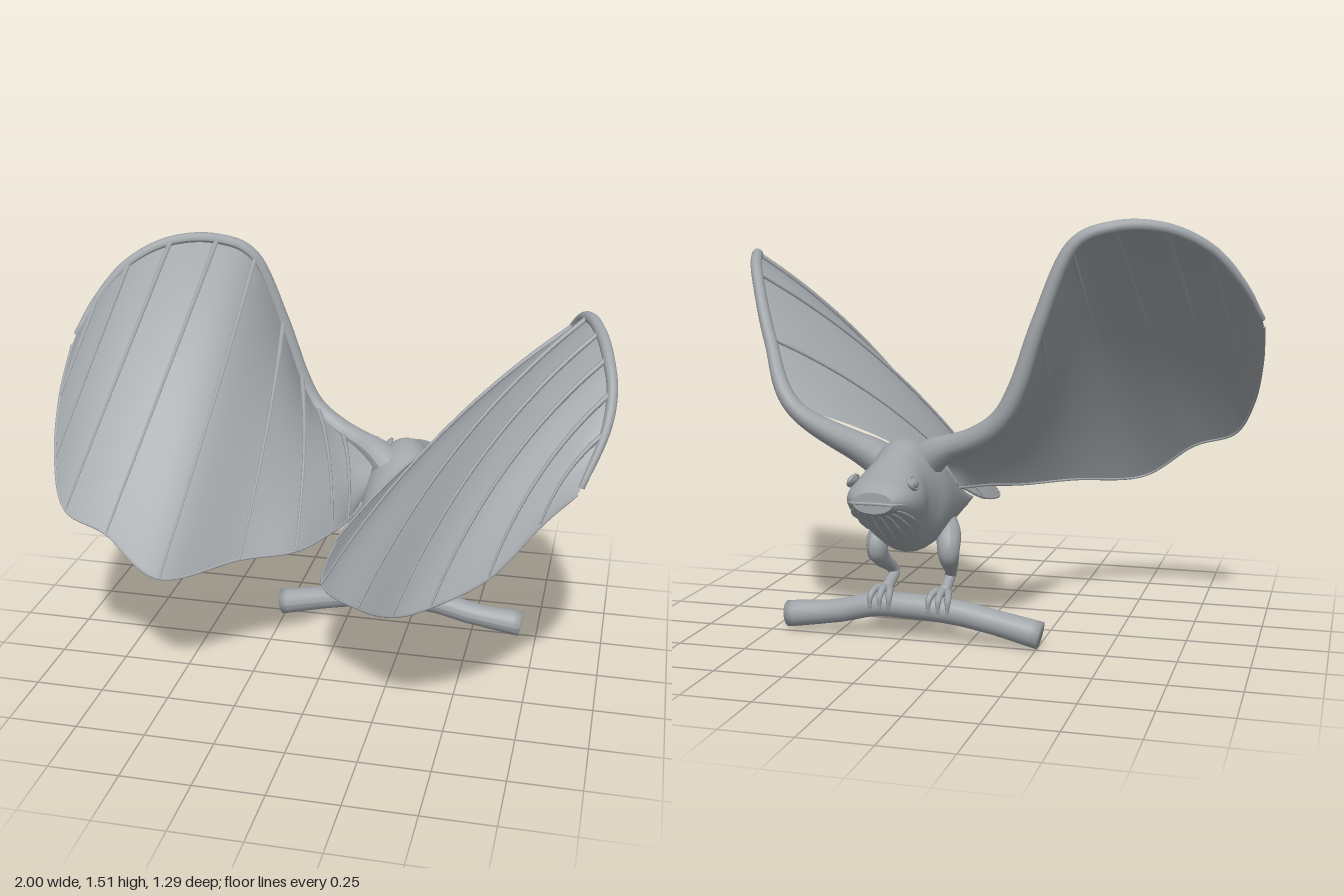
import * as THREE from 'three';
import { ParametricGeometry } from 'three/addons/geometries/ParametricGeometry.js';

const CX = 0.212; // centre line of the body
const V = (p) => new THREE.Vector3(...p);
const spline = (pts) => new THREE.CatmullRomCurve3(pts.map((p) => (p.isVector3 ? p : V(p))), false, 'catmullrom');
const skin = new THREE.MeshStandardMaterial({ color: 0x9fa4a8, side: THREE.DoubleSide });
skin.name = 'clay grey';

function add(parent, name, geometry) {
  const mesh = new THREE.Mesh(geometry, skin);
  mesh.name = name;
  parent.add(mesh);
  return mesh;
}

// Tube along a curve whose radius follows a list of values, with flat closed ends
function taperTube(pts, radii, segs = 40, sides = 12) {
  const curve = spline(pts);
  const geo = new THREE.TubeGeometry(curve, segs, 1, sides, false);
  const pos = geo.attributes.position;
  const v = new THREE.Vector3();
  for (let i = 0; i <= segs; i++) {
    const p = curve.getPointAt(i / segs);
    const end = i === 1 ? curve.getPointAt(0) : i === segs - 1 ? curve.getPointAt(1) : p;
    const f = (i / segs) * (radii.length - 1);
    const k = Math.min(Math.floor(f), radii.length - 2);
    const r = i === 0 || i === segs ? 0 : THREE.MathUtils.lerp(radii[k], radii[k + 1], f - k);
    for (let j = 0; j <= sides; j++) {
      const n = i * (sides + 1) + j;
      v.fromBufferAttribute(pos, n).sub(p).multiplyScalar(r).add(end);
      pos.setXYZ(n, v.x, v.y, v.z);
    }
  }
  geo.computeVertexNormals();
  return geo;
}

// Body sections: z, top, bottom, half width
const SECTIONS = [
  [-0.645, 0.622, 0.55, 0.07], [-0.6, 0.648, 0.525, 0.104], [-0.55, 0.665, 0.485, 0.122],
  [-0.48, 0.69, 0.435, 0.127], [-0.4, 0.725, 0.38, 0.117], [-0.33, 0.752, 0.35, 0.125],
  [-0.25, 0.735, 0.332, 0.145], [-0.15, 0.675, 0.34, 0.145], [0, 0.588, 0.365, 0.128],
  [0.15, 0.503, 0.387, 0.108], [0.31, 0.435, 0.407, 0.08],
];
const heights = spline(SECTIONS.map(([z, t, b]) => [z, t, b]));
const widths = spline(SECTIONS.map(([z, , , w]) => [z, w, 0]));

// Point of the body skin: c and s are the cosine and sine round a section
function bodyPoint(t, c, s) {
  const h = heights.getPoint(t);
  const w = widths.getPoint(t).y;
  return new THREE.Vector3(CX + c * w, (h.y + h.z) / 2 + (s * (h.y - h.z)) / 2, h.x);
}

function bodyGeometry() {
  const geo = new THREE.CylinderGeometry(1, 1, 1, 32, 50).rotateX(Math.PI / 2);
  const pos = geo.attributes.position;
  for (let i = 0; i < pos.count; i++) {
    const t = THREE.MathUtils.clamp(pos.getZ(i) + 0.5, 0, 1);
    const p = bodyPoint(t, pos.getX(i), pos.getY(i));
    pos.setXYZ(i, p.x, p.y, p.z);
  }
  geo.computeVertexNormals();
  return geo;
}

// Wing from pairs of points: front and rear end of each rib
function buildWing(name, ribs, shoulder, bulge, armRadii) {
  const wing = new THREE.Group();
  wing.name = name;
  const lead = spline(ribs.map((r) => r[0]));
  const trail = spline(ribs.map((r) => r[1]));
  const surface = (u, v, out) => {
    out.copy(lead.getPoint(v)).lerp(trail.getPoint(v), u);
    return out.addScaledVector(bulge, 4 * u * (1 - u) * Math.sin(Math.PI * (0.15 + 0.85 * v)));
  };
  add(wing, 'membrane', new ParametricGeometry(surface, 20, 72));
  add(wing, 'arm', taperTube([...shoulder, ...ribs.map((r) => r[0])], armRadii, 90));
  add(wing, 'trailingEdge', taperTube(ribs.map((r) => r[1]), [0.005, 0.005], 80, 6));
  // Ribs lie on the upper face
  const lift = bulge.clone().setLength(0.006);
  for (let i = 1; i < ribs.length - 1; i++) {
    const pts = [];
    for (let j = 0; j <= 8; j++) pts.push(surface(j / 8, i / (ribs.length - 1), new THREE.Vector3()).add(lift));
    add(wing, 'rib', taperTube(pts, [0.01, 0.006, 0.004], 24, 8));
  }
  return wing;
}

function buildLeg(side) {
  const leg = new THREE.Group();
  leg.name = side > 0 ? 'leftLeg' : 'rightLeg';
  const x = (d) => CX + side * d;
  add(leg, 'limb', taperTube([
    [x(0.09), 0.42, -0.12], [x(0.125), 0.385, -0.19], [x(0.135), 0.33, -0.222], [x(0.13), 0.285, -0.19],
    [x(0.115), 0.24, -0.125], [x(0.108), 0.212, -0.11], [x(0.108), 0.19, -0.15], [x(0.11), 0.17, -0.2],
  ], [0.045, 0.048, 0.043, 0.036, 0.028, 0.022, 0.02, 0.024], 48));
  // Toes gripping the branch
  for (const d of [-0.035, 0, 0.035]) {
    add(leg, 'toe', taperTube([
      [x(0.11), 0.172, -0.195], [x(0.11 + d * 0.7), 0.182, -0.23],
      [x(0.11 + d), 0.162, -0.27], [x(0.11 + d), 0.115, -0.279],
    ], [0.014, 0.014, 0.012, 0.004], 20, 8));
  }
  add(leg, 'backToe', taperTube([
    [x(0.11), 0.175, -0.2], [x(0.11), 0.165, -0.18], [x(0.11), 0.12, -0.178],
  ], [0.014, 0.013, 0.004], 14, 8));
  return leg;
}

export function createModel() {
  const model = new THREE.Group();
  model.name = 'wingedCreatureOnBranch';

  add(model, 'body', bodyGeometry());

  // Eyes with lids
  for (const side of [-1, 1]) {
    const eye = new THREE.Group();
    eye.name = side > 0 ? 'leftEye' : 'rightEye';
    eye.position.set(CX + side * 0.106, 0.638, -0.537);
    eye.rotation.set(0.12, 0, side * 0.45);
    add(eye, 'eyeball', new THREE.SphereGeometry(1, 20, 14)).scale.set(0.016, 0.02, 0.036);
    const lid = add(eye, 'eyelid', new THREE.TorusGeometry(0.036, 0.007, 8, 28).rotateY(Math.PI / 2));
    lid.scale.y = 0.6;
    model.add(eye);

    // Throat pleats under the jaw
    for (let k = 0; k < 4; k++) {
      const a = -Math.PI / 2 + side * (0.15 + k * 0.28);
      const pts = [0.06, 0.12, 0.18, 0.25, 0.32].map((t) => bodyPoint(t, Math.cos(a), Math.sin(a)));
      add(model, 'throatPleat', taperTube(pts, [0.003, 0.006, 0.002], 16, 6));
    }
  }

  // Lip running round the snout
  const lip = [];
  for (let k = -4; k <= 4; k++) {
    const t = 0.005 + 0.03 * Math.max(0, Math.abs(k) - 1);
    const c = Math.sign(k) * 0.985;
    lip.push(bodyPoint(t, c, -0.05 - 0.03 * Math.abs(k)));
  }
  add(model, 'lip', taperTube(lip, [0.003, 0.007, 0.003], 40, 6));

  // Left wing, swept back over the tail
  model.add(buildWing('leftWing', [
    [[0.59, 0.85, -0.375], [0.09, 0.57, -0.13]],
    [[0.733, 1.08, -0.25], [0.025, 0.475, 0.06]],
    [[0.837, 1.305, -0.115], [0.035, 0.432, 0.33]],
    [[0.885, 1.368, 0], [0.2, 0.438, 0.49]],
    [[0.93, 1.35, 0.11], [0.34, 0.488, 0.61]],
    [[0.963, 1.295, 0.215], [0.47, 0.55, 0.632]],
    [[0.985, 1.21, 0.31], [0.65, 0.66, 0.6]],
    [[0.972, 1.1, 0.4], [0.8, 0.83, 0.535]],
    [[0.915, 0.95, 0.485], [0.905, 0.93, 0.495]],
  ], [[0.23, 0.55, -0.25], [0.31, 0.665, -0.28]], V([-0.05, 0.06, 0.01]),
  [0.085, 0.052, 0.032, 0.024, 0.022, 0.021, 0.02, 0.017, 0.01]));

  // Small membrane between left arm and flank
  add(model, 'flankMembrane', new ParametricGeometry((u, v, out) => {
    const arm = V([0.24, 0.63, -0.26]).lerp(V([0.59, 0.845, -0.37]), v);
    const flank = V([0.15, 0.55, 0]).lerp(V([0.335, 0.54, 0.04]), v);
    out.copy(arm).lerp(flank, u);
  }, 10, 8));

  // Right wing, raised and spread outward
  model.add(buildWing('rightWing', [
    [[0.1, 0.7, -0.29], [0.07, 0.54, -0.1]],
    [[-0.05, 0.765, -0.345], [0.05, 0.53, -0.02]],
    [[-0.15, 0.84, -0.37], [0.01, 0.52, 0.08]],
    [[-0.215, 0.96, -0.382], [-0.09, 0.5, 0.225]],
    [[-0.285, 1.17, -0.385], [-0.265, 0.505, 0.345]],
    [[-0.387, 1.415, -0.372], [-0.5, 0.495, 0.53]],
    [[-0.525, 1.485, -0.342], [-0.7, 0.63, 0.495]],
    [[-0.69, 1.48, -0.285], [-0.86, 0.69, 0.46]],
    [[-0.83, 1.41, -0.21], [-0.94, 0.83, 0.33]],
    [[-0.93, 1.29, -0.13], [-0.98, 1.0, 0.16]],
    [[-0.99, 1.17, -0.05], [-0.993, 1.14, -0.01]],
  ], [[0.22, 0.6, -0.23]], V([0.03, 0.05, 0.035]),
  [0.09, 0.045, 0.034, 0.028, 0.024, 0.022, 0.02, 0.017, 0.01]));

  model.add(buildLeg(1), buildLeg(-1));

  // Branch
  add(model, 'branch', taperTube([
    [-0.262, 0.05, -0.23], [-0.1, 0.085, -0.23], [0.05, 0.113, -0.232], [0.2, 0.122, -0.23],
    [0.35, 0.12, -0.228], [0.5, 0.085, -0.23], [0.692, 0.06, -0.23],
  ], [0.05, 0.045, 0.046, 0.046, 0.044, 0.043, 0.049], 60, 20));

  return model;
}
